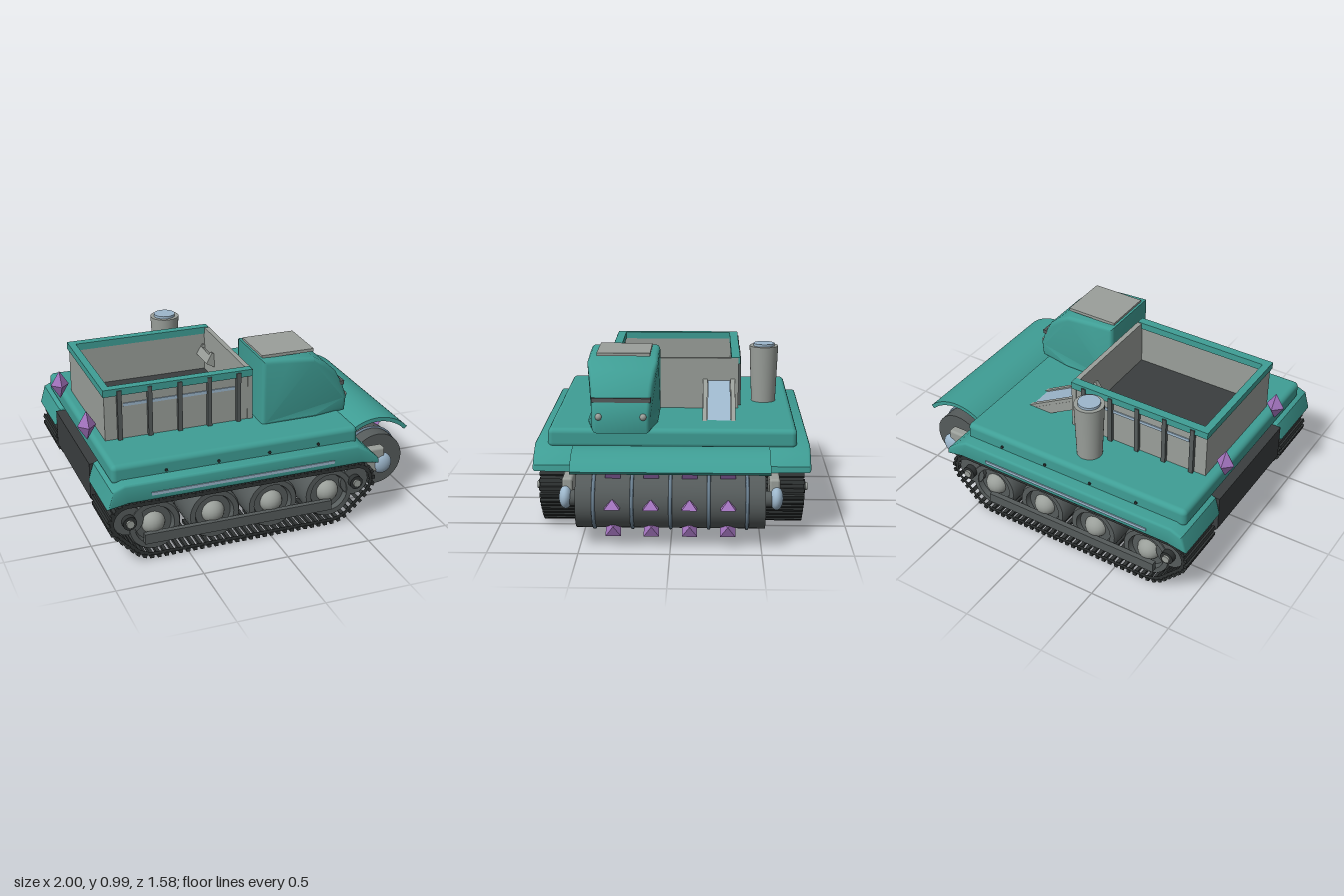
import * as THREE from 'three';
import { toCreasedNormals } from 'three/addons/utils/BufferGeometryUtils.js';
import { RoundedBoxGeometry } from 'three/addons/geometries/RoundedBoxGeometry.js';

const paint = (name, color, side = THREE.FrontSide) => {
  const m = new THREE.MeshStandardMaterial({ color, side });
  m.name = name;
  return m;
};

export function createModel() {
  const teal = paint('teal paint', 0x3f9e95);
  const grey = paint('light grey metal', 0x9a9f9a);
  const dark = paint('dark grey metal', 0x555b5b);
  const rubber = paint('track black', 0x2e3232);
  const charcoal = paint('charcoal hull', 0x3a3e3f);
  const blue = paint('pale blue', 0x9db7cc);
  const steel = paint('blue steel', 0x6a7f90);
  const purple = paint('purple crystal', 0xa273bd);

  const model = new THREE.Group();
  model.name = 'trackedHarvester';

  const add = (parent, name, geo, mat, x = 0, y = 0, z = 0) => {
    const mesh = new THREE.Mesh(geo, mat);
    mesh.name = name;
    mesh.position.set(x, y, z);
    parent.add(mesh);
    return mesh;
  };
  // box given by its limits
  const block = (parent, name, mat, x0, x1, y0, y1, z0, z1, r = 0) => {
    const s = [x1 - x0, y1 - y0, z1 - z0];
    const geo = r ? new RoundedBoxGeometry(...s, 3, r) : new THREE.BoxGeometry(...s);
    return add(parent, name, geo, mat, (x0 + x1) / 2, (y0 + y1) / 2, (z0 + z1) / 2);
  };
  // side profile extruded from z0 to z1 with rounded edges
  const slab = (points, z0, z1, bevel) => {
    const shape = new THREE.Shape(points.map(p => new THREE.Vector2(...p)));
    const geo = new THREE.ExtrudeGeometry(shape, {
      depth: z1 - z0 - 2 * bevel, bevelEnabled: bevel > 0, bevelSize: bevel,
      bevelThickness: bevel, bevelOffset: -bevel, bevelSegments: 3,
    });
    return geo.translate(0, 0, z0 + bevel);
  };
  // cylinder lying along z
  const drumGeo = (r, length, n = 32) => new THREE.CylinderGeometry(r, r, length, n).rotateX(Math.PI / 2);

  // ---- hull and deck
  add(model, 'hull', slab([[-0.88, 0.14], [0.5, 0.14], [0.59, 0.2], [0.59, 0.46],
    [-0.96, 0.46], [-0.96, 0.24]], -0.385, 0.385, 0), charcoal);
  block(model, 'deck', teal, -0.92, 0.55, 0.47, 0.585, -0.71, 0.71, 0.03);

  // ---- tracks, wheels and fenders on each side
  const loop = (o) => {
    const s = new THREE.Shape(), t = 0.9, q = Math.PI / 2;
    s.absarc(0.53, 0.25, 0.095 + o, q, -t, true);
    s.absarc(0.37, 0.2, 0.17 + o, -t, -q, true);
    s.absarc(-0.69, 0.2, 0.17 + o, -q, t - Math.PI, true);
    s.absarc(-0.84, 0.25, 0.095 + o, t - Math.PI, -3 * q, true);
    s.closePath();
    return s;
  };
  const beltShape = loop(0.015);
  beltShape.holes.push(new THREE.Path(loop(-0.008).getPoints(12)));
  const beltGeo = new THREE.ExtrudeGeometry(beltShape, { depth: 0.32, bevelEnabled: false, curveSegments: 12 });
  beltGeo.translate(0, 0, -0.16);
  const lugCount = 84;
  const lugPath = loop(0.02).getSpacedPoints(lugCount * 2);
  const lugGeo = new THREE.BoxGeometry(0.021, 0.02, 0.33);
  const wheelHalf = [[0.155, 0.125], [0.145, 0.145], [0.115, 0.145], [0.105, 0.115], [0, 0.115]];
  const wheelProfile = [...wheelHalf.map(([r, y]) => [r, -y]).reverse(), ...wheelHalf];
  const wheelGeo = toCreasedNormals(new THREE.LatheGeometry(
    wheelProfile.map(p => new THREE.Vector2(...p)), 32).rotateX(Math.PI / 2), 0.5);
  const hubGeo = new THREE.SphereGeometry(0.07, 20, 12);
  const fenderPoints = [[-0.97, 0.365], [-0.85, 0.385], [0.55, 0.385], [0.66, 0.365],
    [0.655, 0.4], [0.59, 0.46], [0.52, 0.5], [-0.87, 0.5], [-0.94, 0.47]];

  for (const side of [1, -1]) {
    const track = new THREE.Group();
    track.name = side > 0 ? 'trackPlusZ' : 'trackMinusZ';
    track.position.z = 0.585 * side;
    model.add(track);
    add(track, 'belt', beltGeo, rubber);
    for (let i = 0; i < lugCount; i++) {
      const a = lugPath[2 * i], b = lugPath[2 * i + 1];
      add(track, 'trackLug', lugGeo, rubber, a.x, a.y).rotation.z = Math.atan2(b.y - a.y, b.x - a.x);
    }
    for (const x of [-0.69, -0.337, 0.017, 0.37]) {
      add(track, 'roadWheel', wheelGeo, dark, x, 0.2);
      for (const s of [1, -1]) add(track, 'wheelHub', hubGeo, grey, x, 0.2, 0.1 * s);
    }
    for (const x of [-0.84, 0.53]) {
      add(track, 'endWheel', drumGeo(0.088, 0.28, 16), dark, x, 0.25);
      for (const s of [1, -1]) {
        add(track, 'endWheelCap', drumGeo(0.04, 0.04, 16), rubber, x, 0.25, 0.155 * s);
        add(track, 'endWheelPin', drumGeo(0.023, 0.02, 12), grey, x, 0.25, 0.178 * s);
      }
    }
    for (const s of [1, -1]) {
      block(track, 'sideRail', dark, -0.76, 0.37, 0.11, 0.17, 0.17 * s - 0.016, 0.17 * s + 0.016);
    }

    const z0 = side > 0 ? 0.385 : -0.785;
    add(model, 'fender', toCreasedNormals(slab(fenderPoints, z0, z0 + 0.4, 0.015), 0.6), teal);
    block(model, 'fenderStripe', blue, -0.72, 0.37, 0.418, 0.436, side * 0.787 - 0.004, side * 0.787 + 0.004);
    for (const x of [-0.61, -0.305, 0, 0.3]) {
      add(model, 'deckBolt', drumGeo(0.009, 0.012, 8), rubber, x, 0.517, side * 0.711);
    }
  }

  // ---- open cargo bin
  const bin = new THREE.Group();
  bin.name = 'cargoBin';
  model.add(bin);
  block(bin, 'binFloor', charcoal, -0.85, 0, 0.58, 0.62, -0.36, 0.36);
  block(bin, 'binRearWall', grey, -0.86, -0.83, 0.58, 0.86, -0.38, 0.38);
  block(bin, 'binFrontWall', grey, -0.005, 0.025, 0.58, 0.893, -0.385, 0.385);
  block(bin, 'binRearRim', teal, -0.868, -0.825, 0.855, 0.897, -0.395, 0.395);
  for (const s of [1, -1]) {
    const wall = (name, mat, x0, x1, y0, y1, a, b) =>
      block(bin, name, mat, x0, x1, y0, y1, Math.min(a * s, b * s), Math.max(a * s, b * s));
    wall('binSideWall', grey, -0.86, 0.02, 0.58, 0.86, 0.35, 0.38);
    wall('binSideRim', teal, -0.868, 0.02, 0.855, 0.897, 0.343, 0.395);
    wall('binStripe', blue, -0.75, -0.085, 0.782, 0.8, 0.378, 0.386);
    for (let i = 0; i < 5; i++) {
      const x = -0.775 + i * 0.1775;
      wall('binRib', dark, x - 0.013, x + 0.013, 0.58, 0.885, 0.375, 0.402);
    }
    const crystal = add(model, 'rearCrystal', new THREE.OctahedronGeometry(1), purple, -0.945, 0.665, 0.31 * s);
    crystal.scale.set(0.055, 0.088, 0.055);
  }

  // ---- cab with a tapered nose
  const cabGeo = slab([[0.045, 0.57], [0.38, 0.57], [0.59, 0.57], [0.6, 0.66], [0.57, 0.745], [0.52, 0.835],
    [0.445, 0.905], [0.365, 0.952], [0.2, 0.968], [0.045, 0.977]], -0.205, 0.205, 0.025);
  const cp = cabGeo.attributes.position;
  for (let i = 0; i < cp.count; i++) {
    const t = Math.max(0, (cp.getX(i) - 0.37) / 0.23);
    cp.setZ(i, cp.getZ(i) * (1 - 0.22 * t));
  }
  const cab = new THREE.Group();
  cab.name = 'cab';
  cab.position.z = 0.288;
  model.add(cab);
  add(cab, 'cabBody', toCreasedNormals(cabGeo, 0.6), teal);
  block(cab, 'roofPlate', grey, 0.06, 0.38, 0.972, 0.99, -0.158, 0.15);
  block(cab, 'visor', dark, 0.54, 0.575, 0.744, 0.768, -0.168, 0.168);
  for (const s of [1, -1]) add(cab, 'headlight', new THREE.SphereGeometry(0.02, 16, 10), grey, 0.592, 0.665, 0.126 * s);

  // ---- sloping conveyor running down through the deck
  const chute = new THREE.Group();
  chute.name = 'conveyor';
  chute.position.set(-0.01, 0.755, -0.268);
  chute.rotation.z = -0.51;
  model.add(chute);
  block(chute, 'conveyorTray', grey, -0.025, 0.56, -0.05, 0.005, -0.097, 0.097);
  block(chute, 'conveyorBelt', blue, 0.025, 0.72, -0.01, 0.018, -0.067, 0.067);
  for (const s of [1, -1]) {
    block(chute, 'conveyorSide', grey, -0.025, 0.46, -0.05, 0.025, 0.083 * s - 0.013, 0.083 * s + 0.013);
  }

  // ---- exhaust stack
  add(model, 'stack', new THREE.CylinderGeometry(0.088, 0.074, 0.35, 32), grey, -0.2, 0.755, -0.545);
  add(model, 'stackCap', new THREE.CylinderGeometry(0.065, 0.065, 0.02, 32), blue, -0.2, 0.935, -0.545);

  // ---- spiked front drum
  const drum = new THREE.Group();
  drum.name = 'frontDrum';
  drum.position.set(0.78, 0.25, 0);
  model.add(drum);
  add(drum, 'drumBody', drumGeo(0.163, 1.04, 40), dark);
  for (let i = -2; i <= 2; i++) add(drum, 'drumRing', new THREE.TorusGeometry(0.163, 0.01, 8, 40), steel, 0, 0, 0.21 * i);
  const spikeGeo = new THREE.ConeGeometry(0.06, 0.05, 4).toNonIndexed().rotateY(Math.PI / 4);
  spikeGeo.computeVertexNormals();
  for (let k = 0; k < 6; k++) {
    const a = 0.12 + k * Math.PI / 3;
    for (const z of [-0.315, -0.105, 0.105, 0.315]) {
      add(drum, 'drumSpike', spikeGeo, purple, 0.174 * Math.cos(a), 0.174 * Math.sin(a), z).rotation.z = a - 0.12;
    }
  }
  for (const s of [1, -1]) {
    add(drum, 'drumAxle', drumGeo(0.045, 0.1, 20), dark, 0, 0, 0.55 * s);
    block(drum, 'drumArm', grey, -0.2, 0.01, -0.04, 0.115, 0.575 * s - 0.03, 0.575 * s + 0.03, 0.015);
    add(drum, 'drumHub', new THREE.SphereGeometry(0.063, 24, 16), blue, 0, 0.005, 0.585 * s).scale.set(1, 1.05, 0.6);
  }

  // ---- curved guard over the drum
  const guard = new THREE.Shape();
  guard.absarc(0.76, 0.255, 0.28, 0.77, 2.27, false);
  guard.absarc(0.76, 0.255, 0.255, 2.27, 0.77, true);
  guard.closePath();
  const guardGeo = new THREE.ExtrudeGeometry(guard, { depth: 1.09, bevelEnabled: false, curveSegments: 20 });
  add(model, 'drumGuard', toCreasedNormals(guardGeo.translate(0, 0, -0.545), 0.6), teal);

  return model;
}
